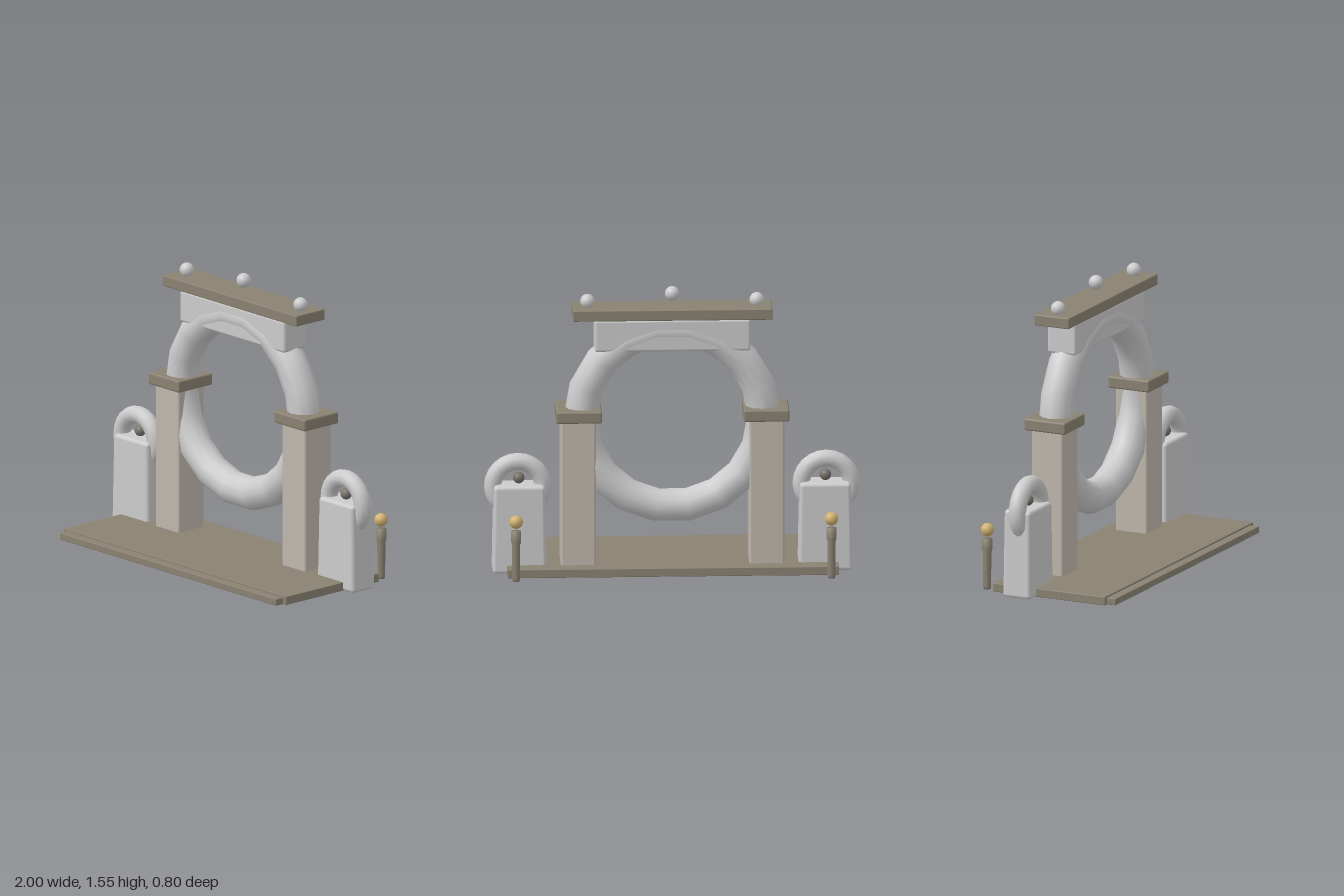
import * as THREE from 'three';
import { RoundedBoxGeometry } from 'three/addons/geometries/RoundedBoxGeometry.js';

const material = (color) => new THREE.MeshStandardMaterial({ color });

export function createModel() {
  const group = new THREE.Group();
  const paleStone = material(0xcccccc);
  const warmStone = material(0xbfb7ad);
  const darkStone = material(0x8a8272);
  const bronze = material(0x77726a);
  const gold = material(0xd0b070);
  const archZ = -0.14;

  const add = (name, geometry, mat, x, y, z) => {
    const mesh = new THREE.Mesh(geometry, mat);
    mesh.name = name;
    mesh.position.set(x, y, z);
    group.add(mesh);
    return mesh;
  };

  // Box given by its limits on each axis, with softened edges
  const block = (name, mat, [x0, x1], [y0, y1], [z0, z1], radius = 0.008) =>
    add(name, new RoundedBoxGeometry(x1 - x0, y1 - y0, z1 - z0, 2, radius), mat,
      (x0 + x1) / 2, (y0 + y1) / 2, (z0 + z1) / 2);

  const ball = (name, mat, radius, x, y, z) =>
    add(name, new THREE.SphereGeometry(radius, 16, 12), mat, x, y, z);

  // Plinth and its front step
  block('plinth', darkStone, [-0.88, 0.88], [0.008, 0.055], [-0.315, 0.35], 0.004);
  block('frontStep', darkStone, [-0.855, 0.855], [0.008, 0.045], [0.25, 0.4], 0.004);

  // Great ring held between the pillars
  add('archRing', new THREE.TorusGeometry(0.488, 0.09, 12, 18), paleStone, 0, 0.84, archZ);

  // Lintel, cornice and finials
  block('lintel', paleStone, [-0.415, 0.415], [1.22, 1.395], [-0.225, -0.057], 0.015);
  block('cornice', darkStone, [-0.53, 0.53], [1.395, 1.455], [-0.245, -0.04], 0.006);
  for (const [x, y] of [[-0.45, 1.482], [0, 1.52], [0.45, 1.482]])
    ball('roofFinial', paleStone, 0.039, x, y, -0.143);

  for (const side of [-1, 1]) {
    const span = (a, b) => (side > 0 ? [a, b] : [-b, -a]);

    // Pillar and capital
    block('pillar', warmStone, span(0.408, 0.594), [0.02, 0.845], [-0.232, -0.045], 0.012);
    block('capital', darkStone, span(0.377, 0.62), [0.838, 0.903], [-0.262, -0.018], 0.01);

    // Side pedestal, slightly narrower at the top
    const pedestal = block('pedestal', paleStone, span(0.669, 0.957), [0.006, 0.485], [-0.222, -0.058], 0.02);
    const points = pedestal.geometry.attributes.position;
    for (let i = 0; i < points.count; i++) {
      const taper = 1 - 0.06 * (points.getY(i) / 0.479 + 0.5);
      points.setX(i, points.getX(i) * taper);
      points.setZ(i, points.getZ(i) * taper);
    }
    pedestal.geometry.computeBoundingSphere();

    // Small ring around a bead on top of the pedestal
    add('pedestalRing', new THREE.TorusGeometry(0.133, 0.047, 12, 24), paleStone,
      side * 0.82, 0.47, -0.133);
    ball('pedestalBead', bronze, 0.031, side * 0.815, 0.516, archZ);

    // Rear post with a thicker head and a gilded ball
    const profile = [[0, 0.008], [0.018, 0.008], [0.021, 0.02], [0.022, 0.21],
      [0.027, 0.222], [0.027, 0.282], [0, 0.282]]
      .map(([r, y]) => new THREE.Vector2(r, y));
    add('rearPost', new THREE.LatheGeometry(profile, 14), darkStone, side * 0.838, 0, -0.37);
    ball('rearPostBall', gold, 0.036, side * 0.838, 0.332, -0.368);
  }

  return group;
}
